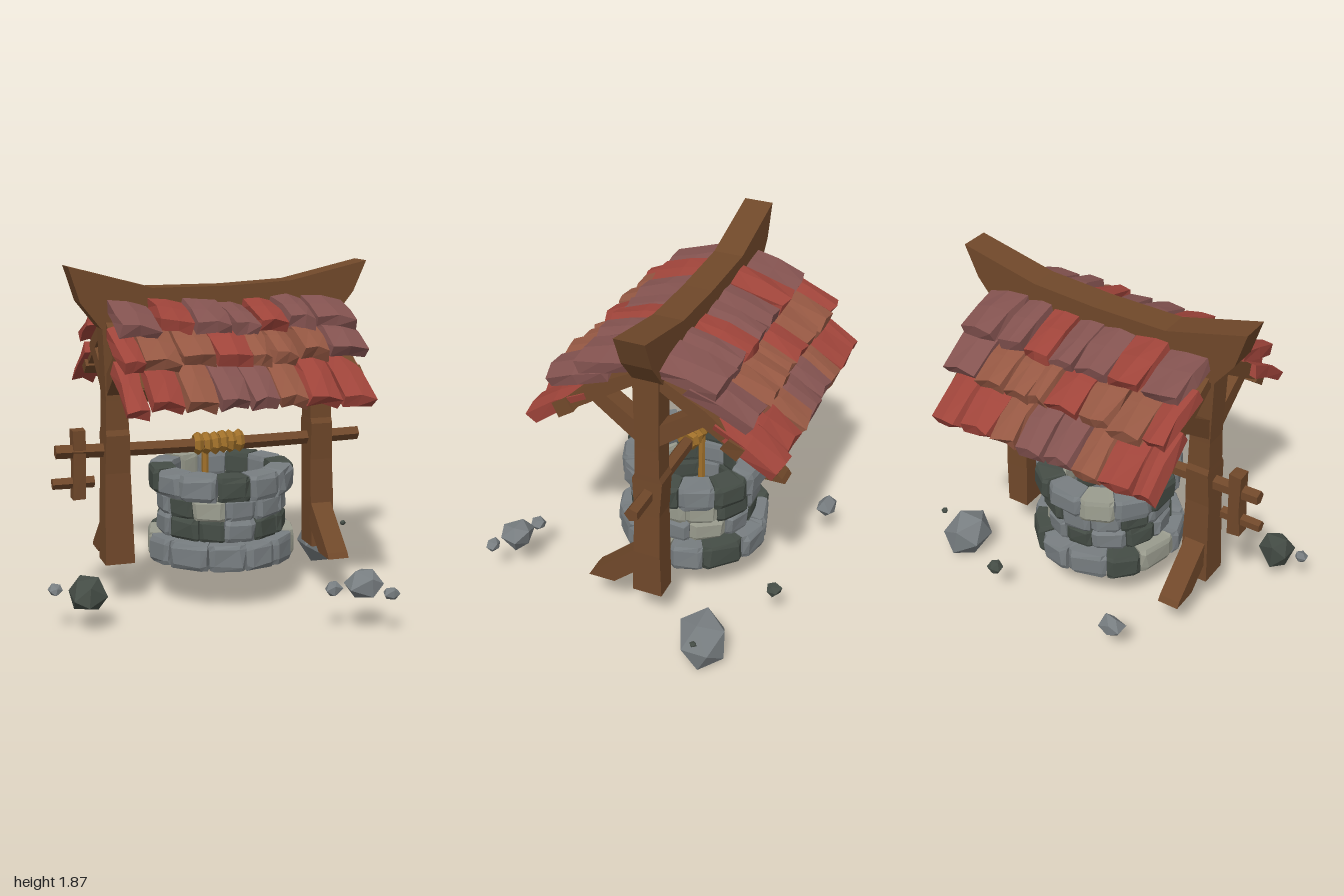
import * as THREE from 'three';

const mat = (name, color) => {
  const m = new THREE.MeshStandardMaterial({ color, flatShading: true });
  m.name = name;
  return m;
};

export function createModel() {
  const wood = mat('wood', 0x70482a), rope = mat('rope', 0xa0702a);
  const tileMats = { r: mat('red tile', 0x9f443a), m: mat('mauve tile', 0x845350), o: mat('orange tile', 0x965843) };
  const stoneMats = { g: mat('grey stone', 0x787e81), d: mat('dark stone', 0x454d46), c: mat('pale stone', 0x9a9c8e) };
  const model = new THREE.Group();
  const ZC = -0.15; // shared centre plane of well, posts and roof

  let seed = 7;
  const rnd = () => {
    seed = (seed * 16807) % 2147483647;
    return seed / 2147483647 * 2 - 1;
  };

  const add = (parent, name, geo, material, x = 0, y = 0, z = 0) => {
    const mesh = new THREE.Mesh(geo, material);
    mesh.name = name;
    mesh.position.set(x, y, z);
    parent.add(mesh);
    return mesh;
  };
  const group = (name) => {
    const g = new THREE.Group();
    g.name = name;
    model.add(g);
    return g;
  };

  // Move every vertex by a rule
  const warp = (geo, rule) => {
    const p = geo.attributes.position, v = new THREE.Vector3();
    for (let i = 0; i < p.count; i++) {
      rule(v.fromBufferAttribute(p, i));
      p.setXYZ(i, v.x, v.y, v.z);
    }
    geo.computeVertexNormals();
    return geo;
  };
  // Random offsets, shared by coincident vertices
  const jitter = (geo, ax, ay = ax, az = ax) => {
    const seen = {};
    return warp(geo, (v) => {
      const key = [v.x, v.y, v.z].map((n) => Math.round(n * 1000)).join();
      const o = seen[key] ??= [rnd() * ax, rnd() * ay, rnd() * az];
      v.set(v.x + o[0], v.y + o[1], v.z + o[2]);
    });
  };
  const outline = (pts, depth) => {
    const shape = new THREE.Shape(pts.map(([x, y]) => new THREE.Vector2(x, y)));
    return new THREE.ExtrudeGeometry(shape, { depth, bevelEnabled: false }).translate(0, 0, -depth / 2);
  };
  // Plank outlined in z and y, given a width along x
  const sidePlank = (pts, width) => outline(pts, width).rotateY(-Math.PI / 2);

  // Posts: rows of [y, x centre, x width, z width]
  const frame = group('frame');
  const post = (name, rows) => {
    const n = rows.length - 1;
    const geo = warp(new THREE.BoxGeometry(1, 1, 1, 1, n, 1), (v) => {
      const [y, x, wx, wz] = rows[Math.round((v.y + 0.5) * n)];
      v.set(x + v.x * wx, y, v.z * wz);
    });
    add(frame, name, geo, wood, 0, 0, ZC);
  };
  post('rightPost', [[0.24, -0.538, 0.165, 0.165], [0.75, -0.541, 0.14, 0.14], [0.96, -0.54, 0.13, 0.165], [0.99, -0.54, 0.128, 0.135], [1.15, -0.54, 0.12, 0.13], [1.6, -0.55, 0.13, 0.14]]);
  post('leftPost', [[0.24, 0.655, 0.13, 0.165], [0.5, 0.652, 0.138, 0.15], [0.75, 0.645, 0.13, 0.14], [0.96, 0.64, 0.125, 0.165], [0.99, 0.64, 0.125, 0.135], [1.15, 0.635, 0.13, 0.13], [1.6, 0.64, 0.13, 0.14]]);

  // Ridge beam with upswept ends
  add(frame, 'ridgeBeam', outline([[-0.79, 1.87], [-0.73, 1.68], [-0.62, 1.54], [-0.3, 1.57], [0.4, 1.57], [0.7, 1.55], [0.82, 1.7],
    [0.895, 1.87], [0.45, 1.77], [0.08, 1.75], [-0.34, 1.75]], 0.16), wood, 0, 0, ZC - 0.01);

  // Braces, rafters and purlins on both sides
  for (const s of [1, -1]) {
    const side = (pts) => pts.map(([z, y]) => [z * s, y]);
    for (const x of [-0.545, 0.64]) {
      add(frame, 'brace', sidePlank(side([[0.05, 1.17], [0.34, 1.39], [0.27, 1.44], [0.05, 1.29]]), 0.1), wood, x, 0, ZC);
      add(frame, 'rafter', sidePlank(side([[0.04, 1.52], [0.47, 1.24], [0.52, 1.28], [0.3, 1.45], [0.04, 1.59]]), 0.1), wood, x, 0, ZC);
    }
    add(frame, 'purlin', jitter(new THREE.BoxGeometry(1.32, 0.08, 0.1, 3, 1, 1), 0.008), wood, 0.05, 1.28, ZC + s * 0.455).rotation.x = s * 0.6;
    add(frame, 'footBrace', sidePlank(side([[0.35, 0.24], [0.33, 0.27], [0.07, 0.5], [0.05, 0.37], [0.2, 0.24]]), 0.12),
      wood, s > 0 ? 0.645 : -0.54, 0, ZC);
  }

  // Shingles: start and end of each row as distance from the ridge and height
  const roof = group('roof');
  const rows = [
    { from: [0.06, 1.65], to: [0.37, 1.56], xs: [-0.59, -0.37, -0.18, 0.02, 0.16, 0.33, 0.49, 0.73], colors: 'mrmmrmm' },
    { from: [0.21, 1.55], to: [0.535, 1.415], xs: [-0.62, -0.5, -0.3, -0.12, 0.08, 0.18, 0.33, 0.5, 0.72], colors: 'roorooom' },
    { from: [0.35, 1.385], to: [0.665, 1.195], xs: [-0.63, -0.51, -0.32, -0.16, 0.01, 0.17, 0.33, 0.52, 0.7], colors: 'rrommorr' },
  ];
  for (const s of [1, -1]) {
    for (const { from, to, xs, colors } of rows) {
      const run = to[0] - from[0], drop = from[1] - to[1], length = Math.hypot(run, drop);
      [...colors].forEach((c, i) => {
        const w = xs[i + 1] - xs[i];
        const geo = new THREE.BoxGeometry(w, 0.062, length, 2, 1, 2);
        jitter(geo, 0.012, 0.006, 0.014);
        warp(geo, (v) => {
          const t = v.z * s / length; // -0.5 at the ridge side, 0.5 at the eave
          v.y += 0.008 * (1 - 4 * t * t) + 0.012 * (0.5 - Math.pow(2 * v.x / w, 2));
          v.x *= 1 - 0.16 * Math.max(t, 0);
        });
        const tile = add(roof, 'shingle', geo, tileMats[c], (xs[i] + xs[i + 1]) / 2,
          (from[1] + to[1]) / 2 + rnd() * 0.016, ZC + s * ((from[0] + to[0]) / 2 + rnd() * 0.012));
        tile.rotation.set(s * (Math.atan2(drop, run) + rnd() * 0.04), rnd() * 0.04, rnd() * 0.09 - 0.11);
      });
    }
  }

  // Well wall: four rings of chamfered stones, listed from the front towards +x
  const well = group('well');
  const rings = [
    { y0: 0.24, y1: 0.385, r: 0.425, inner: 0.29, turn: 0, colors: 'ggcgdggdcggg' },
    { y0: 0.38, y1: 0.505, r: 0.355, inner: 0.24, turn: -0.19, colors: 'gddgcgdgdgdd' },
    { y0: 0.5, y1: 0.625, r: 0.355, inner: 0.24, turn: -0.27, colors: 'gggccdggdgdc' },
    { y0: 0.62, y1: 0.757, r: 0.408, inner: 0.265, turn: -0.36, colors: 'dggdgdgcgdgg' },
  ];
  for (const { y0, y1, r, inner, turn, colors } of rings) {
    const n = colors.length, step = Math.PI * 2 / n;
    const cuts = [...colors].map((_, i) => i * step + turn + rnd() * 0.06);
    [...colors].forEach((c, i) => {
      const a0 = cuts[i], a1 = i + 1 < n ? cuts[i + 1] : cuts[0] + Math.PI * 2;
      const bulge = rnd() * 0.01;
      const geo = jitter(new THREE.BoxGeometry(1, 1, 1, 3, 3, 1), 0.025, 0.03, 0.05);
      warp(geo, (v) => {
        const edgeX = Math.abs(v.x) > 0.4, edgeY = Math.abs(v.y) > 0.4;
        const chamfer = (edgeX ? 0.014 : 0) + (edgeY ? 0.012 : 0);
        const radius = v.z > 0 ? r + bulge - chamfer + (v.z - 0.5) * 0.1 : inner + chamfer * 0.5;
        const a = (a0 + a1) / 2 + v.x * (edgeX ? 0.97 : 2) * (a1 - a0);
        const y = (y0 + y1) / 2 + v.y * (edgeY ? 0.99 : 1.9) * (y1 - y0);
        v.set(Math.sin(a) * radius, y, Math.cos(a) * radius);
      });
      add(well, 'wallStone', geo, stoneMats[c], 0.065, 0, ZC);
    });
  }

  // Winch: five-sided axle, rope coil, hanging rope and crank
  const winch = group('winch');
  const axle = new THREE.CylinderGeometry(0.04, 0.04, 1.76, 5, 6).rotateZ(-Math.PI / 2);
  warp(axle, (v) => { v.y += 0.015 * v.x * v.x; });
  add(winch, 'axle', axle, wood, 0.01, 0.866, ZC);
  for (let i = 0; i < 6; i++) {
    const loop = add(winch, 'ropeCoil', new THREE.TorusGeometry(0.04, 0.027, 5, 7), rope, -0.068 + i * 0.047, 0.872 + rnd() * 0.006, ZC);
    loop.rotation.set(0, Math.PI / 2 + rnd() * 0.15, rnd() * 0.3);
  }
  add(winch, 'hangingRope', new THREE.CylinderGeometry(0.02, 0.02, 0.53, 6), rope, -0.025, 0.595, ZC);
  add(winch, 'crankArm', jitter(new THREE.BoxGeometry(0.07, 0.38, 0.08, 1, 2, 1), 0.004), wood, -0.745, 0.8, ZC - 0.005);
  add(winch, 'crankHandle', new THREE.CylinderGeometry(0.034, 0.032, 0.23, 5).rotateZ(-Math.PI / 2), wood, -0.775, 0.7, ZC - 0.005);

  // Scattered rocks: position, radii, colour
  const rocks = group('rocks');
  for (const [x, y, z, rx, ry, rz, c] of [
    [-0.8, 0.2, 0.265, 0.1, 0.108, 0.105, 'd'], [-0.96, 0.235, 0.24, 0.038, 0.032, 0.04, 'g'],
    [-0.375, 0.245, -0.79, 0.065, 0.055, 0.055, 'g'], [0.42, 0.235, -0.755, 0.05, 0.04, 0.045, 'd'],
    [0.58, 0.265, 0.71, 0.1, 0.088, 0.09, 'g'], [0.975, 0.23, -0.52, 0.018, 0.015, 0.018, 'd'],
    [0.42, 0.235, 0.66, 0.045, 0.04, 0.04, 'g'], [0.685, 0.23, 0.805, 0.045, 0.036, 0.04, 'g'],
  ]) {
    const geo = jitter(new THREE.IcosahedronGeometry(1.05, 0), 0.18).scale(rx, ry, rz);
    add(rocks, 'rock', geo, stoneMats[c], x, y, z);
  }
  // Large boulder, broad at the upper back and pointed towards its foot
  const boulder = warp(new THREE.IcosahedronGeometry(1, 0), (v) => {
    const k = v.y > 0 ? 1 : 0.95;
    v.set(0.82 + v.x * 0.15 * k - v.y * 0.03, Math.max(0, 0.13 + v.y * 0.15), -0.51 + v.z * 0.145 * k + v.y * 0.015);
  });
  add(rocks, 'boulder', boulder, stoneMats.g);
  return model;
}
